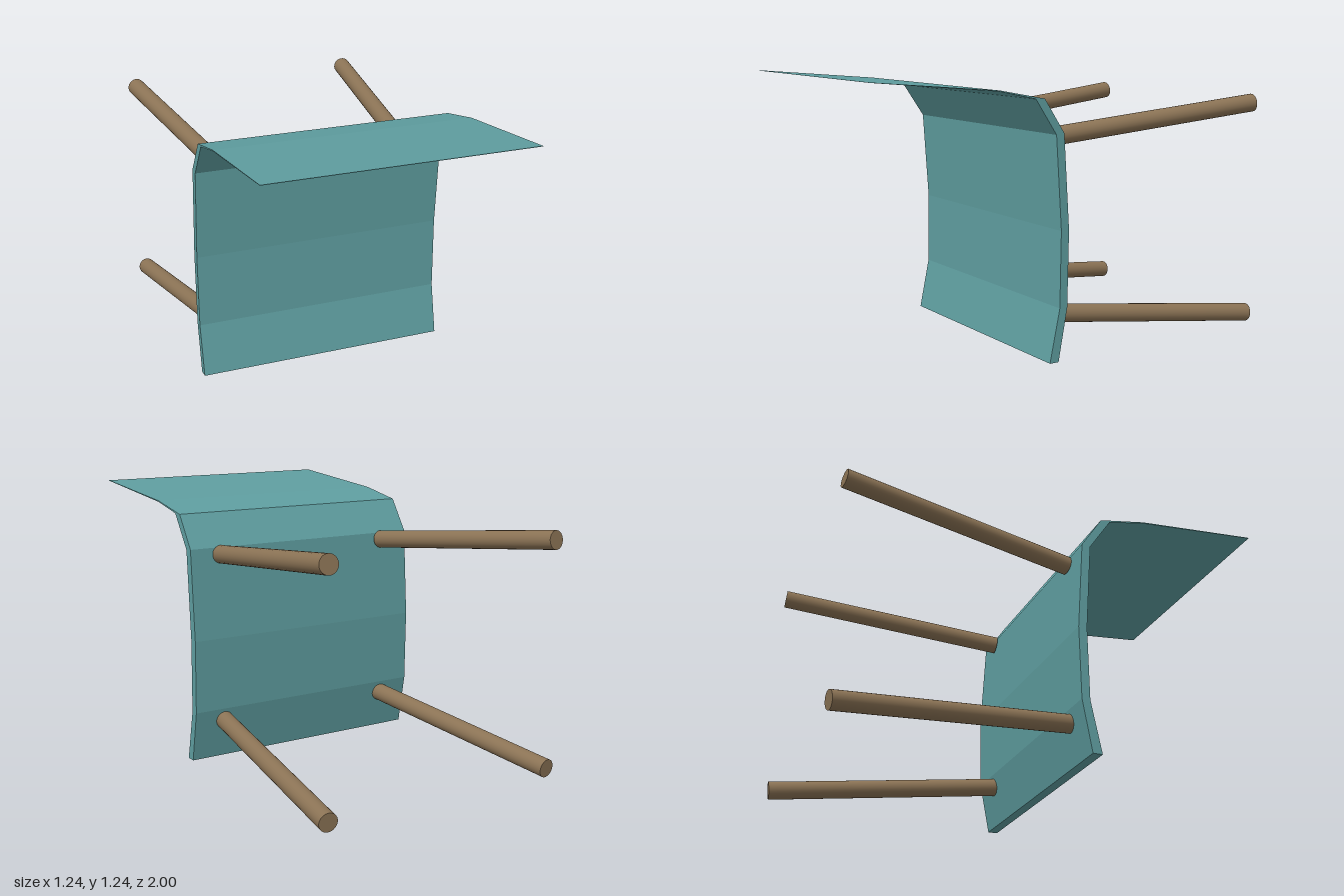
import * as THREE from 'three';

const TEAL = 0x5f9ea0, WOOD = 0x8b7355;
const WIDTH = 1.2, LEG_RADIUS = 0.042;

// Bent shell: side profile (z, y) swept across the width
function createShell() {
  const front = [[0.167, 0], [0.117, 0.24], [0.112, 0.58], [0.14, 0.995], [0.245, 1.15], [0.42, 1.186], [1, 1.239]];
  const back = [[1, 1.241], [0.42, 1.191], [0.2, 1.15], [0.1, 1.0], [0.072, 0.58], [0.078, 0.24], [0.122, 0]];
  const shape = new THREE.Shape([...front, ...back].map(([z, y]) => new THREE.Vector2(z, y)));
  const geometry = new THREE.ExtrudeGeometry(shape, { depth: WIDTH, bevelEnabled: false });
  geometry.translate(0, 0, -WIDTH / 2).rotateY(-Math.PI / 2);
  const shell = new THREE.Mesh(geometry, new THREE.MeshStandardMaterial({ color: TEAL }));
  shell.name = 'seatShell';
  return shell;
}

// Round leg running between two points
function createLeg(name, start, end, material) {
  const direction = end.clone().sub(start);
  const geometry = new THREE.CylinderGeometry(LEG_RADIUS, LEG_RADIUS, direction.length(), 24);
  const leg = new THREE.Mesh(geometry, material);
  leg.position.copy(start).add(end).multiplyScalar(0.5);
  leg.quaternion.setFromUnitVectors(new THREE.Vector3(0, 1, 0), direction.normalize());
  leg.name = name;
  return leg;
}

export function createModel() {
  const model = new THREE.Group();
  model.name = 'chair';
  model.add(createShell());

  // Four splayed legs, mirrored left and right
  const wood = new THREE.MeshStandardMaterial({ color: WOOD });
  for (const [side, label] of [[1, 'Left'], [-1, 'Right']]) {
    for (const [level, y0, y1] of [['upper', 0.968, 1.086], ['lower', 0.184, 0.067]]) {
      model.add(createLeg(
        `${level}${label}Leg`,
        new THREE.Vector3(side * 0.447, y0, 0.094),
        new THREE.Vector3(side * 0.578, y1, -0.994),
        wood,
      ));
    }
  }
  return model;
}
